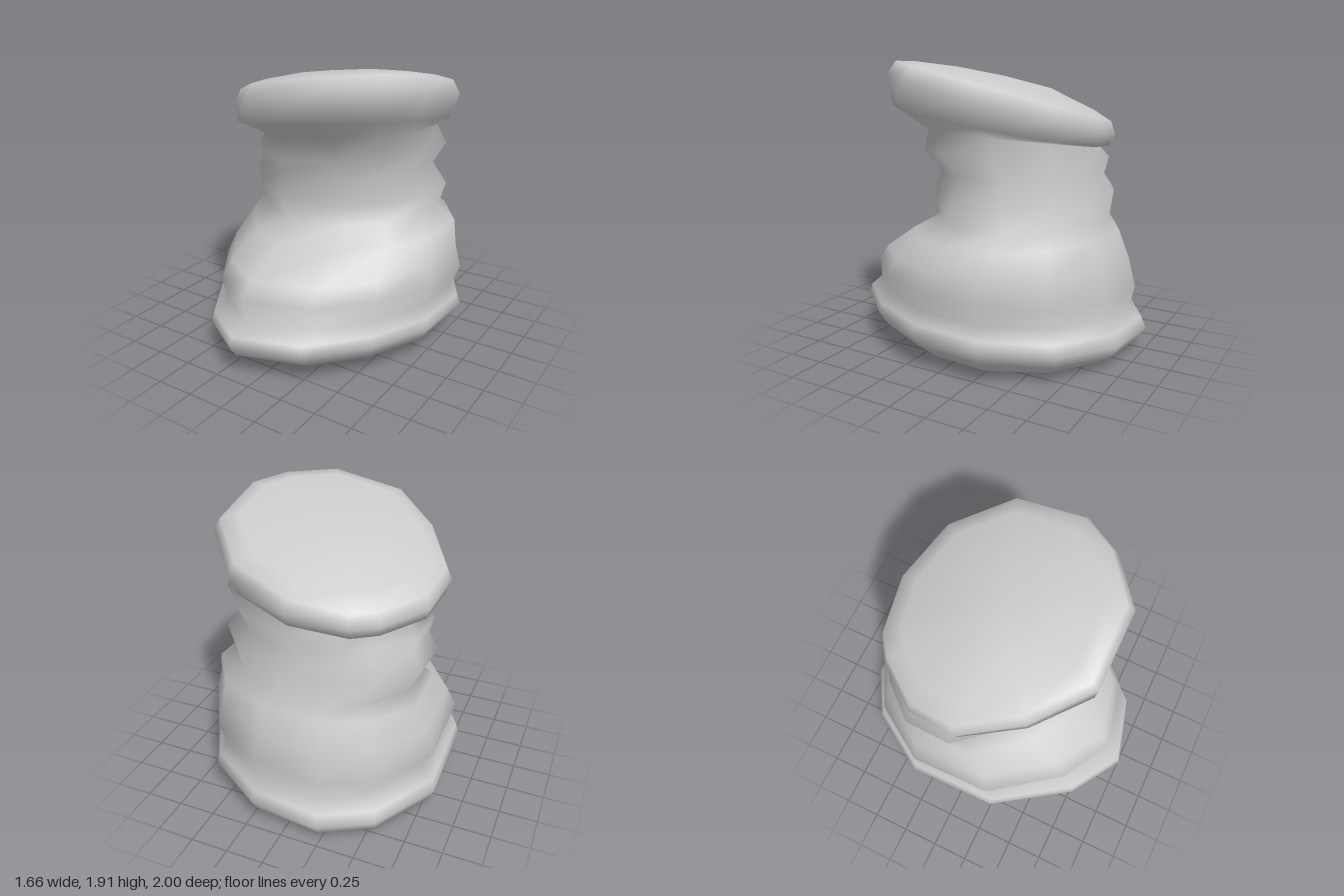
import * as THREE from 'three';

// Ring outlines as [x, z] in -1..1, running from the front round by +x: sole and cuff.
const soleOutline = [
  [-0.16, 1], [0.39, 0.88], [0.76, 0.55], [0.98, 0.15], [1, -0.32], [0.72, -0.74],
  [0.25, -0.97], [-0.3, -1], [-0.69, -0.81], [-1, -0.38], [-0.99, 0.26], [-0.58, 0.77],
];
const cuffOutline = [
  [-0.27, 1], [0.4, 1], [0.8, 0.68], [1, 0.35], [1, -0.32], [0.6, -0.82],
  [0.04, -1], [-0.47, -0.92], [-0.67, -0.77], [-0.95, -0.38], [-1, 0.07], [-0.71, 0.59],
];

// Each ring: xMin, xMax, zBack, zFront, middle height, rise towards +x, rise towards +z.
const rings = [
  [-0.64, 0.66, -0.80, 0.71, 0.04, 0.028, 0.02],   // underside
  [-0.68, 0.69, -0.85, 0.76, 0.043, 0.03, 0.022],
  [-0.80, 0.78, -0.95, 0.94, 0.12, 0.04, 0.04],    // sole roll
  [-0.83, 0.83, -1.00, 1.00, 0.205, 0.04, 0.04],
  [-0.81, 0.81, -0.97, 0.98, 0.275, 0.035, 0.035],
  [-0.72, 0.77, -0.90, 0.88, 0.355, 0.035, 0.03],  // groove above sole
  [-0.80, 0.82, -0.92, 0.88, 0.485, 0.045, 0.035], // foot
  [-0.74, 0.78, -0.88, 0.80, 0.63, 0.03, -0.01],
  [-0.67, 0.74, -0.82, 0.55, 0.80, 0.02, -0.02],
  [-0.62, 0.61, -0.74, 0.36, 0.90, 0.01, -0.01],   // ankle crease
  [-0.71, 0.66, -0.75, 0.39, 1.06, 0.01, -0.01],   // shaft folds
  [-0.65, 0.57, -0.68, 0.34, 1.195, 0.025, 0.015],
  [-0.67, 0.66, -0.72, 0.43, 1.315, 0.05, 0.01],
  [-0.62, 0.61, -0.65, 0.40, 1.42, 0.07, 0.03],    // crease below cuff
  [-0.71, 0.71, -0.72, 0.66, 1.495, 0.09, 0.11],   // cuff
  [-0.74, 0.76, -0.76, 0.67, 1.625, 0.13, 0.15],
  [-0.71, 0.71, -0.73, 0.62, 1.708, 0.13, 0.145],
  [-0.60, 0.60, -0.62, 0.51, 1.745, 0.11, 0.115],  // domed top
  [-0.32, 0.32, -0.34, 0.24, 1.80, 0.05, 0.05],
];

function loft() {
  const n = soleOutline.length, last = rings.length - 1;
  const positions = [], index = [];
  rings.forEach(([x0, x1, z0, z1, y, riseX, riseZ], i) => {
    // the outline changes from sole to cuff along the shaft
    const t = THREE.MathUtils.smoothstep(i, 6, 15);
    for (let j = 0; j < n; j++) {
      const u = THREE.MathUtils.lerp(soleOutline[j][0], cuffOutline[j][0], t);
      const v = THREE.MathUtils.lerp(soleOutline[j][1], cuffOutline[j][1], t);
      positions.push(
        (x0 + x1) / 2 + u * (x1 - x0) / 2,
        y + u * riseX + v * riseZ,
        (z0 + z1) / 2 + v * (z1 - z0) / 2,
      );
    }
  });
  // centre points that close both ends
  const bottom = positions.length / 3, top = bottom + 1;
  positions.push(0, 0.04, -0.04, 0, 1.81, -0.05);

  for (let j = 0; j < n; j++) {
    const k = (j + 1) % n;
    for (let i = 0; i < last; i++) {
      const a = i * n + j, b = i * n + k;
      index.push(a, b, b + n, a, b + n, a + n);
    }
    index.push(bottom, k, j, top, last * n + j, last * n + k);
  }
  const geometry = new THREE.BufferGeometry();
  geometry.setAttribute('position', new THREE.Float32BufferAttribute(positions, 3));
  geometry.setIndex(index);
  geometry.computeVertexNormals();
  return geometry;
}

export function createModel() {
  const group = new THREE.Group();
  group.name = 'shortBoot';
  const boot = new THREE.Mesh(loft(), new THREE.MeshStandardMaterial({ color: 0xcccccc }));
  boot.name = 'boot';
  group.add(boot);
  return group;
}
